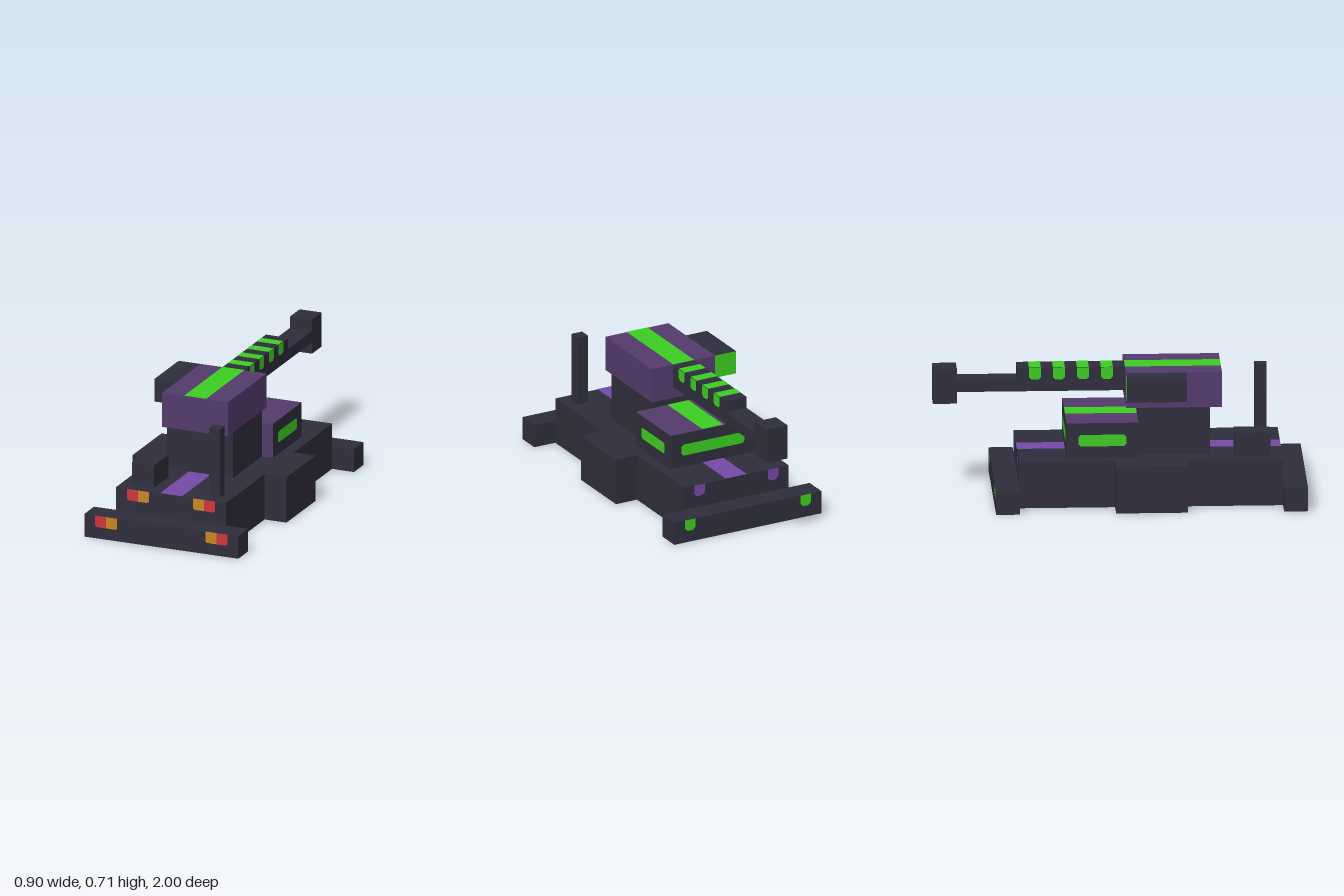
import * as THREE from 'three';

// All sizes are in blocks; the whole model is 31 blocks long.
const U = 2 / 31;
const LIFT = 0.03; // how far painted details sit off the surface, in blocks

function makeMaterial(name, color) {
  const m = new THREE.MeshStandardMaterial({ color });
  m.name = name;
  return m;
}

export function createModel() {
  const model = new THREE.Group();
  model.name = 'tank';

  const dark = makeMaterial('darkArmour', 0x2e2d3b);
  const purple = makeMaterial('purpleArmour', 0x533a6b);
  const violet = makeMaterial('violetPaint', 0x7549a6);
  const green = makeMaterial('greenGlow', 0x3ccc22);
  const red = makeMaterial('redLamp', 0xcc353c);
  const orange = makeMaterial('orangeLamp', 0xc98423);

  // Box given by its extents; material may be an array (+x, -x, +y, -y, +z, -z)
  function box(name, material, x0, x1, y0, y1, z0, z1) {
    const g = new THREE.BoxGeometry((x1 - x0) * U, (y1 - y0) * U, (z1 - z0) * U);
    const mesh = new THREE.Mesh(g, material);
    mesh.position.set((x0 + x1) / 2 * U, (y0 + y1) / 2 * U, (z0 + z1) / 2 * U);
    mesh.name = name;
    model.add(mesh);
  }

  // Flat painted panel facing front, back, left, right or up.
  // cuts: corner cuts in order bottom-left, bottom-right, top-right, top-left
  function panel(name, material, facing, w, h, x, y, z, cuts = [0, 0, 0, 0]) {
    const [a, b, c, d] = cuts;
    const s = new THREE.Shape();
    const p = [[-w / 2 + a, -h / 2]];
    p.push([w / 2 - b, -h / 2]);
    if (b) p.push([w / 2, -h / 2 + b]);
    p.push([w / 2, h / 2 - c]);
    if (c) p.push([w / 2 - c, h / 2]);
    p.push([-w / 2 + d, h / 2]);
    if (d) p.push([-w / 2, h / 2 - d]);
    if (a) p.push([-w / 2, -h / 2 + a]);
    s.setFromPoints(p.map(([u, v]) => new THREE.Vector2(u * U, v * U)));
    const mesh = new THREE.Mesh(new THREE.ShapeGeometry(s), material);
    if (facing === 'up') mesh.rotation.x = -Math.PI / 2;
    else mesh.rotation.y = { front: 0, left: Math.PI / 2, back: Math.PI, right: -Math.PI / 2 }[facing];
    mesh.position.set(x * U, y * U, z * U);
    mesh.translateZ(LIFT * U);
    mesh.name = name;
    model.add(mesh);
  }

  // Hull, bumpers and side pods
  box('hull', dark, -5, 5, 0, 4, -8.5, 13.5);
  box('frontBumper', dark, -7, 7, 0, 2, 13.5, 15.5);
  box('rearBumper', dark, -7, 7, 0, 2, -10.5, -8.5);
  box('leftPod', dark, 5, 7, 0, 4, -0.5, 5.5);
  box('rightPod', dark, -7, -5, 0, 4, -0.5, 5.5);
  panel('hoodStripe', violet, 'up', 2, 6, 0, 4, 10.5);
  panel('rearDeckStripe', violet, 'up', 2, 4, 0, 4, -6.5);

  // Deck fittings
  box('hatch', dark, -4, -2, 4, 6, 9.5, 12.5);
  box('antenna', dark, 3, 4, 4, 10, 11.5, 12.5);

  // Engine housing: purple top and front
  box('engineHousing', [dark, dark, purple, dark, purple, dark], -4, 4, 4, 7, -4.5, 1.5);
  panel('housingStripe', green, 'up', 2, 6, 0, 7, -1.5);
  const round = [0.2, 0.2, 0.2, 0.2];
  panel('leftHousingLight', green, 'left', 4, 1, 4, 5.5, -1.5, round);
  panel('rightHousingLight', green, 'right', 4, 1, -4, 5.5, -1.5, round);
  panel('rearHousingLight', green, 'back', 6, 1, 0, 5.5, -4.5, round);

  // Turret on its neck, with a side launcher
  box('turretNeck', dark, -3, 3, 4, 8, 1.5, 7.5);
  box('turret', purple, -3, 3, 8, 11, 0.5, 8.5);
  panel('turretStripe', green, 'up', 2, 8, 0, 11, 4.5);
  box('sideLauncher', [dark, dark, dark, dark, dark, green], -5, -3, 9, 11, 0.5, 5.5);

  // Gun
  box('gunBarrel', dark, -1, 1, 9, 10, -13.5, 0.5);
  box('gunSleeve', dark, -1, 1, 10, 11, -8.5, 0.5);
  box('muzzle', dark, -1, 1, 8, 11, -15.5, -13.5);
  for (let i = 0; i < 4; i++) {
    const z = -1 - 2 * i;
    panel('gunBandTop', green, 'up', 2, 1, 0, 11, z);
    panel('gunBandLeft', green, 'left', 1, 1, 1, 10.5, z, [0.2, 0.2, 0, 0]);
    panel('gunBandRight', green, 'right', 1, 1, -1, 10.5, z, [0.2, 0.2, 0, 0]);
  }

  // Lamps, mirrored left and right
  for (const s of [1, -1]) {
    const outer = s > 0 ? [0, 0.14, 0, 0] : [0.14, 0, 0, 0];
    const inner = s > 0 ? [0.14, 0, 0, 0] : [0, 0.14, 0, 0];
    for (const [x, y, z] of [[5.5, 1.5, 15.5], [3.5, 3.5, 13.5]]) {
      panel('redLamp', red, 'front', 1, 1, s * x, y, z, outer);
      panel('orangeLamp', orange, 'front', 1, 1, s * (x - 1), y, z, inner);
    }
    panel('rearBumperLamp', green, 'back', 1, 1, s * 5.5, 1.5, -10.5, [0.25, 0.25, 0, 0]);
    panel('rearHullLamp', violet, 'back', 1, 1, s * 3.5, 3.5, -8.5, [0.25, 0.25, 0, 0]);
  }

  return model;
}
